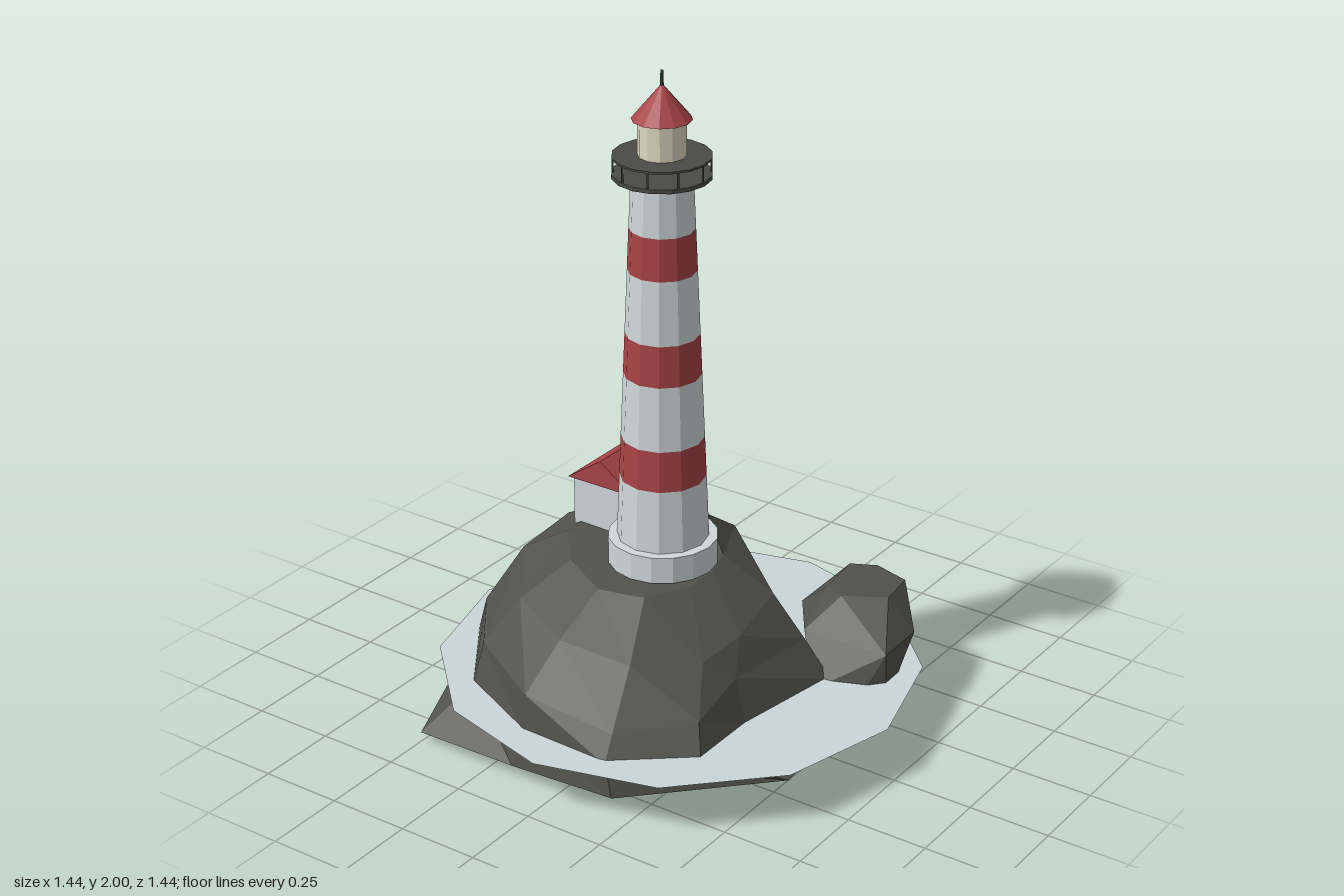
import * as THREE from 'three';
import { ConvexGeometry } from 'three/addons/geometries/ConvexGeometry.js';

function paint(name, color, side = THREE.FrontSide) {
  const m = new THREE.MeshStandardMaterial({ color, flatShading: true, side });
  m.name = name;
  return m;
}

// Skin a stack of rings of [x, z, y] points, closed by a fan at the top point
function loft(rings, top) {
  const pos = [];
  const put = (...pts) => pts.forEach(([x, z, y]) => pos.push(x, y, z));
  const n = rings[0].length;
  for (let k = 0; k < n; k++) {
    const j = (k + 1) % n;
    for (let i = 0; i < rings.length - 1; i++) {
      const lo = rings[i], hi = rings[i + 1];
      put(lo[k], hi[k], hi[j], lo[k], hi[j], lo[j]);
    }
    const last = rings[rings.length - 1];
    put(top, last[j], last[k]);
  }
  const g = new THREE.BufferGeometry();
  g.setAttribute('position', new THREE.Float32BufferAttribute(pos, 3));
  g.computeVertexNormals();
  return g;
}

export function createModel() {
  const model = new THREE.Group();
  model.name = 'lighthouseIsland';
  const white = paint('white', 0xd0d8da);
  const red = paint('red', 0xa84446);
  const rock = paint('rock', 0x51514c, THREE.DoubleSide);
  const iron = paint('iron', 0x4a4a47);
  const cream = paint('cream', 0xdfd9c2);
  const water = paint('water', 0xcbd6d8, THREE.DoubleSide);

  function add(parent, name, geometry, material, x = 0, y = 0, z = 0) {
    const mesh = new THREE.Mesh(geometry, material);
    mesh.name = name;
    mesh.position.set(x, y, z);
    parent.add(mesh);
    return mesh;
  }

  // Water sheet
  const sheet = new THREE.CircleGeometry(0.722, 12).rotateX(-Math.PI / 2);
  add(model, 'water', sheet, water, 0, 0.16, 0);

  // Island hill, open underneath: foot, shore, wall, shoulder and crown rings
  const foot = [[.53, .22, .035], [.19, .61, .055], [-.16, .615, .04], [-.5, .61, .03], [-.6, .37, .03],
    [-.7, .13, .03], [-.57, -.23, .045], [-.43, -.58, .07], [.1, -.55, 0], [.46, -.22, .04], [.51, 0, .04]];
  const shore = [[.37, .43, .15], [.16, .6, .15], [-.14, .59, .15], [-.42, .46, .15], [-.61, .19, .15],
    [-.62, -.12, .15], [-.57, -.2, .15], [-.33, -.43, .15], [-.12, -.49, .15], [.43, -.16, .15], [.37, .2, .15]];
  const wall = [[.33, .38, .24], [.15, .55, .22], [-.14, .57, .26], [-.4, .43, .28], [-.57, .2, .27],
    [-.57, -.1, .27], [-.53, -.2, .27], [-.32, -.41, .27], [-.11, -.46, .27], [.35, -.14, .27], [.32, .18, .28]];
  const shoulder = [[.26, .26, .35], [.12, .42, .37], [-.12, .43, .38], [-.33, .34, .41], [-.47, .14, .45],
    [-.48, -.1, .46], [-.44, -.2, .45], [-.27, -.38, .42], [-.06, -.38, .42], [.25, -.12, .4], [.28, .1, .37]];
  const crown = [[.12, .12, .49], [.05, .25, .49], [-.1, .27, .48], [-.25, .2, .5], [-.35, .08, .515],
    [-.35, -.08, .515], [-.32, -.16, .52], [-.2, -.22, .53], [-.05, -.22, .53], [.1, -.08, .5], [.13, .02, .5]];
  add(model, 'hill', loft([foot, shore, wall, shoulder, crown], [-.08, 0, .51]), rock);

  // Boulder behind the hill, as [x, z, y] points
  const boulder = [[.28, -.5, .34], [.36, -.53, .345], [.48, -.49, .35], [.5, -.36, .355], [.38, -.29, .355],
    [.3, -.34, .34], [.17, -.53, .2], [.34, -.69, .12], [.35, -.6, .27], [.575, -.39, .25], [.58, -.22, .25],
    [.53, -.16, .12], [.4, -.11, .13], [.31, -.2, .26], [.2, -.36, .25], [.585, -.22, .09], [.33, -.25, .09],
    [.25, -.5, .09], [.38, -.59, .09]];
  add(model, 'boulder',
    new ConvexGeometry(boulder.map(([x, z, y]) => new THREE.Vector3(x, y, z))), rock);

  // Lighthouse
  const tower = new THREE.Group();
  tower.name = 'lighthouse';
  tower.position.set(-0.036, 0, 0.034);
  model.add(tower);
  const drum = (name, r0, r1, y0, y1, material, sides = 16) => add(tower, name,
    new THREE.CylinderGeometry(r1, r0, y1 - y0, sides), material, 0, (y0 + y1) / 2, 0);

  drum('towerBase', 0.162, 0.162, 0.5, 0.582, white);

  // Tapered shaft in alternating bands
  const levels = [0.55, 0.775, 0.9, 1.097, 1.222, 1.415, 1.541, 1.7];
  const radiusAt = y => 0.135 - (y - 0.58) * 0.042;
  for (let i = 0; i < levels.length - 1; i++) {
    const [a, b] = [levels[i], levels[i + 1]];
    drum(i % 2 ? 'redBand' : 'whiteBand', radiusAt(a), radiusAt(b), a, b, i % 2 ? red : white, 12);
  }

  // Gallery: floor, posts and lantern deck
  drum('galleryFloor', 0.142, 0.142, 1.693, 1.705, iron);
  for (let i = 0; i < 10; i++) {
    const a = (i + 0.5) * Math.PI / 5;
    add(tower, 'galleryPost', new THREE.CylinderGeometry(0.003, 0.003, 0.05, 5), iron,
      Math.sin(a) * 0.136, 1.728, Math.cos(a) * 0.136);
  }
  drum('lanternDeck', 0.141, 0.141, 1.75, 1.756, iron);

  // Lantern, roof and spire
  drum('lantern', 0.069, 0.069, 1.756, 1.86, cream, 12);
  drum('lanternRoof', 0.086, 0.005, 1.86, 1.957, red, 12);
  drum('spire', 0.006, 0.004, 1.94, 2, iron, 6);

  // Keeper's house with a solid gabled roof
  const house = new THREE.Group();
  house.name = 'house';
  house.position.set(-0.27, 0, -0.134);
  model.add(house);
  add(house, 'houseWalls', new THREE.BoxGeometry(0.21, 0.17, 0.29), white, 0, 0.58, 0);
  const gable = new THREE.Shape([[-0.118, 0.66], [0.118, 0.66], [0, 0.742]]
    .map(([x, y]) => new THREE.Vector2(x, y)));
  add(house, 'houseRoof', new THREE.ExtrudeGeometry(gable, { depth: 0.314, bevelEnabled: false }),
    red, 0, 0, -0.157);
  add(house, 'houseWindow', new THREE.BoxGeometry(0.006, 0.07, 0.06), white, -0.105, 0.59, 0);

  return model;
}
